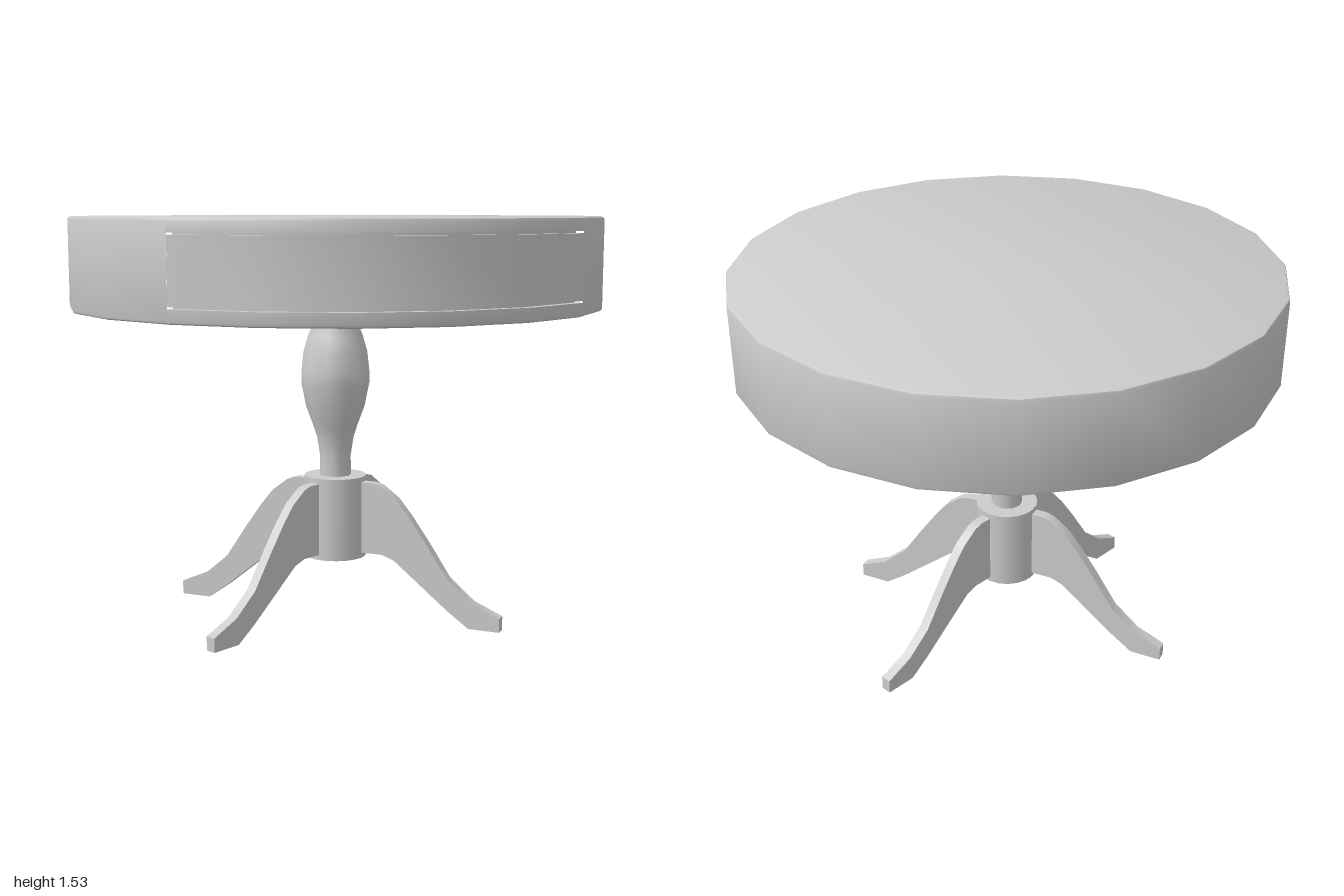
import * as THREE from 'three';
import { mergeGeometries, toCreasedNormals } from 'three/addons/utils/BufferGeometryUtils.js';

const material = new THREE.MeshStandardMaterial({ color: 0xcccccc });
const CREASE = 0.6;

function part(name, geometry) {
  const mesh = new THREE.Mesh(geometry, material);
  mesh.name = name;
  return mesh;
}

const profile = (pairs) => pairs.map(([r, y]) => new THREE.Vector2(r, y));

// Twenty-sided drum: three quarters full depth, one quarter recessed for the drawer
function drumGeometry() {
  const R = 0.995, inner = 0.965, b = 0.012;
  const bottom = [[0, 1.19], [R - b, 1.19], [R - 0.003, 1.194], [R, 1.19 + b]];
  const top = [[R, 1.53 - b], [R - 0.003, 1.526], [R - b, 1.53], [0, 1.53]];
  const recess = [[R, 1.24], [inner, 1.24], [inner, 1.482], [R, 1.482]];
  const full = new THREE.LatheGeometry(profile([...bottom, ...top]), 15, Math.PI / 2, Math.PI * 1.5);
  const notched = new THREE.LatheGeometry(profile([...bottom, ...recess, ...top]), 5, 0, Math.PI / 2);
  return toCreasedNormals(mergeGeometries([full, notched]), CREASE);
}

// Curved drawer front following the facets of the drum
function drawerGeometry() {
  const arc = (r) => Array.from({ length: 6 }, (_, i) => {
    const a = THREE.MathUtils.clamp(i * Math.PI / 10, 0.006, Math.PI / 2 - 0.006);
    return new THREE.Vector2(r * Math.cos(a), -r * Math.sin(a));
  });
  const shape = new THREE.Shape([...arc(1.002), ...arc(0.95).reverse()]);
  const geometry = new THREE.ExtrudeGeometry(shape, { depth: 0.228, bevelEnabled: false });
  geometry.rotateX(-Math.PI / 2).translate(0, 1.247, 0);
  return toCreasedNormals(geometry, CREASE);
}

// Flat sawn leg sweeping down and outward along +x
function legGeometry() {
  const shape = new THREE.Shape(profile([
    [0.05, 0.25], [0.2, 0.25], [0.25, 0.232], [0.318, 0.178], [0.465, 0.06], [0.55, 0],
    [0.67, 0], [0.67, 0.053], [0.56, 0.1], [0.465, 0.18], [0.378, 0.31], [0.31, 0.405],
    [0.258, 0.468], [0.195, 0.515], [0.16, 0.525], [0.05, 0.525],
  ]));
  const geometry = new THREE.ExtrudeGeometry(shape, { depth: 0.04, bevelEnabled: false });
  geometry.translate(0, 0, -0.02);
  return toCreasedNormals(geometry, CREASE);
}

export function createModel() {
  const model = new THREE.Group();
  model.name = 'drumTable';

  const top = new THREE.Group();
  top.name = 'tableTop';
  top.position.set(-0.004, 0, -0.004);
  top.add(part('drum', drumGeometry()), part('drawerFront', drawerGeometry()));
  model.add(top);

  // Turned baluster post
  model.add(part('post', new THREE.LatheGeometry(profile([
    [0.06, 0.53], [0.059, 0.62], [0.07, 0.69], [0.084, 0.735], [0.112, 0.81], [0.13, 0.9],
    [0.13, 0.945], [0.122, 1.02], [0.105, 1.08], [0.085, 1.13], [0.074, 1.2],
  ]), 10, Math.PI / 2)));

  // Hub that carries the legs
  const hub = part('hub', new THREE.CylinderGeometry(0.119, 0.119, 0.315, 20));
  hub.position.y = 0.3875;
  model.add(hub);

  // Four legs, turned slightly off the axes
  const splay = THREE.MathUtils.degToRad(9);
  const leg = legGeometry();
  const angles = [splay, -Math.PI / 2 - splay, Math.PI + splay, Math.PI / 2 - splay];
  angles.forEach((angle, i) => {
    const mesh = part(['leftLeg', 'frontLeg', 'rightLeg', 'backLeg'][i], leg);
    mesh.rotation.y = angle;
    model.add(mesh);
  });
  return model;
}
